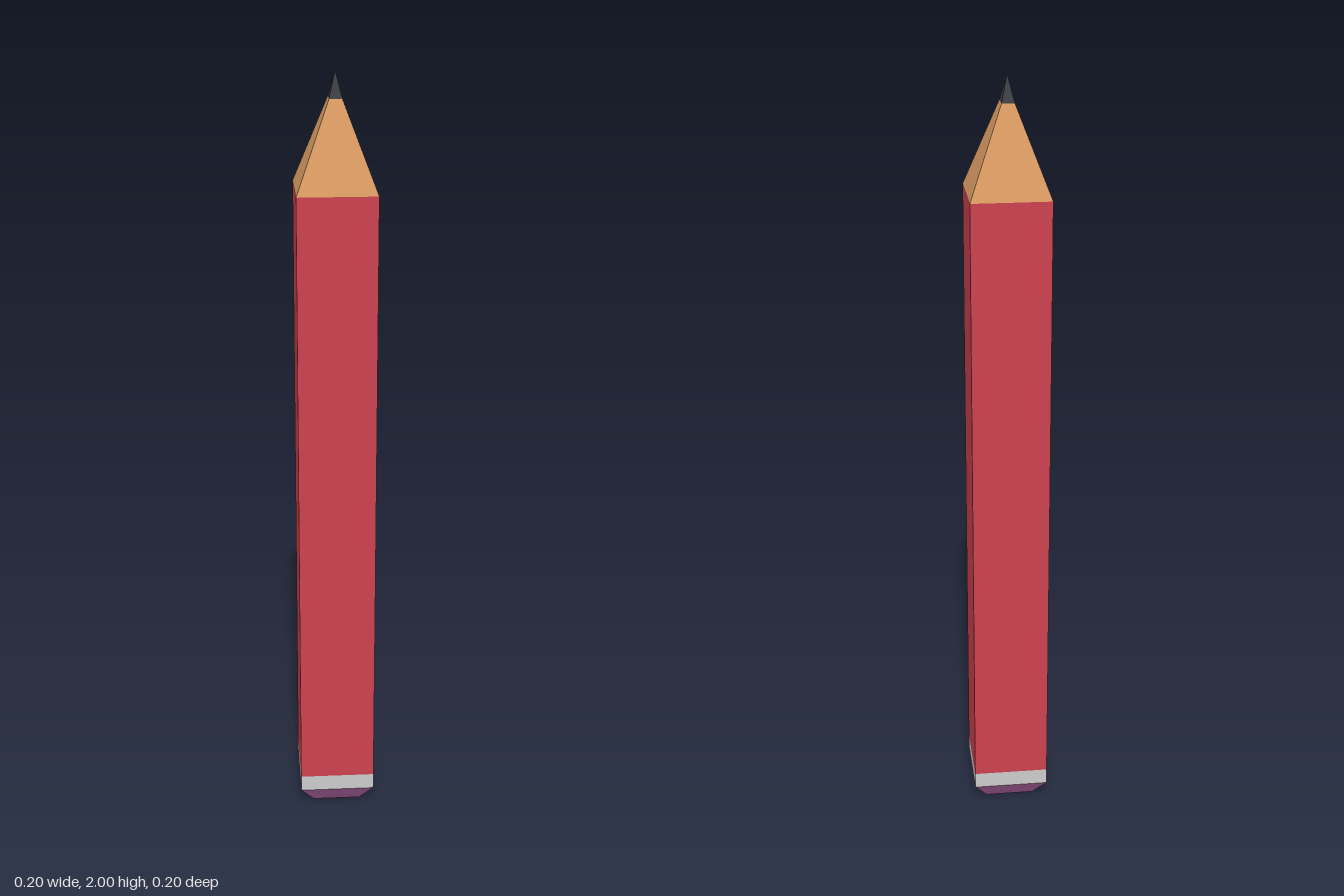
import * as THREE from 'three';

// Four-sided block between y0 and y1; bottom and top are [halfX, halfZ]
function block(name, color, y0, y1, bottom, top) {
  const geo = new THREE.BoxGeometry(2, y1 - y0, 2);
  geo.translate(0, (y0 + y1) / 2, 0);
  const pos = geo.attributes.position;
  const middle = (y0 + y1) / 2;
  for (let i = 0; i < pos.count; i++) {
    const [hx, hz] = pos.getY(i) > middle ? top : bottom;
    pos.setX(i, pos.getX(i) * hx);
    pos.setZ(i, pos.getZ(i) * hz);
  }
  geo.computeVertexNormals();
  return part(name, geo, color);
}

function part(name, geo, color) {
  const mesh = new THREE.Mesh(geo, new THREE.MeshStandardMaterial({ color, flatShading: true }));
  mesh.name = name;
  return mesh;
}

export function createModel() {
  const group = new THREE.Group();
  group.name = 'pencil';
  const full = [0.1, 0.1];
  const leadBase = [0.016, 0.025];

  group.add(
    block('eraser', 0xa8619a, 0, 0.053, [0.064, 0.064], full),
    block('ferrule', 0xcccccc, 0.053, 0.097, full, full),
    block('body', 0xcc424e, 0.097, 1.715, full, full),
    block('sharpenedWood', 0xd99a62, 1.715, 1.935, full, leadBase)
  );

  // Pointed lead, a four-sided pyramid
  const lead = new THREE.ConeGeometry(Math.SQRT2, 0.065, 4);
  lead.rotateY(Math.PI / 4);
  lead.scale(leadBase[0], 1, leadBase[1]);
  lead.translate(0, 1.9675, 0);
  group.add(part('leadTip', lead, 0x3c3e42));

  return group;
}
